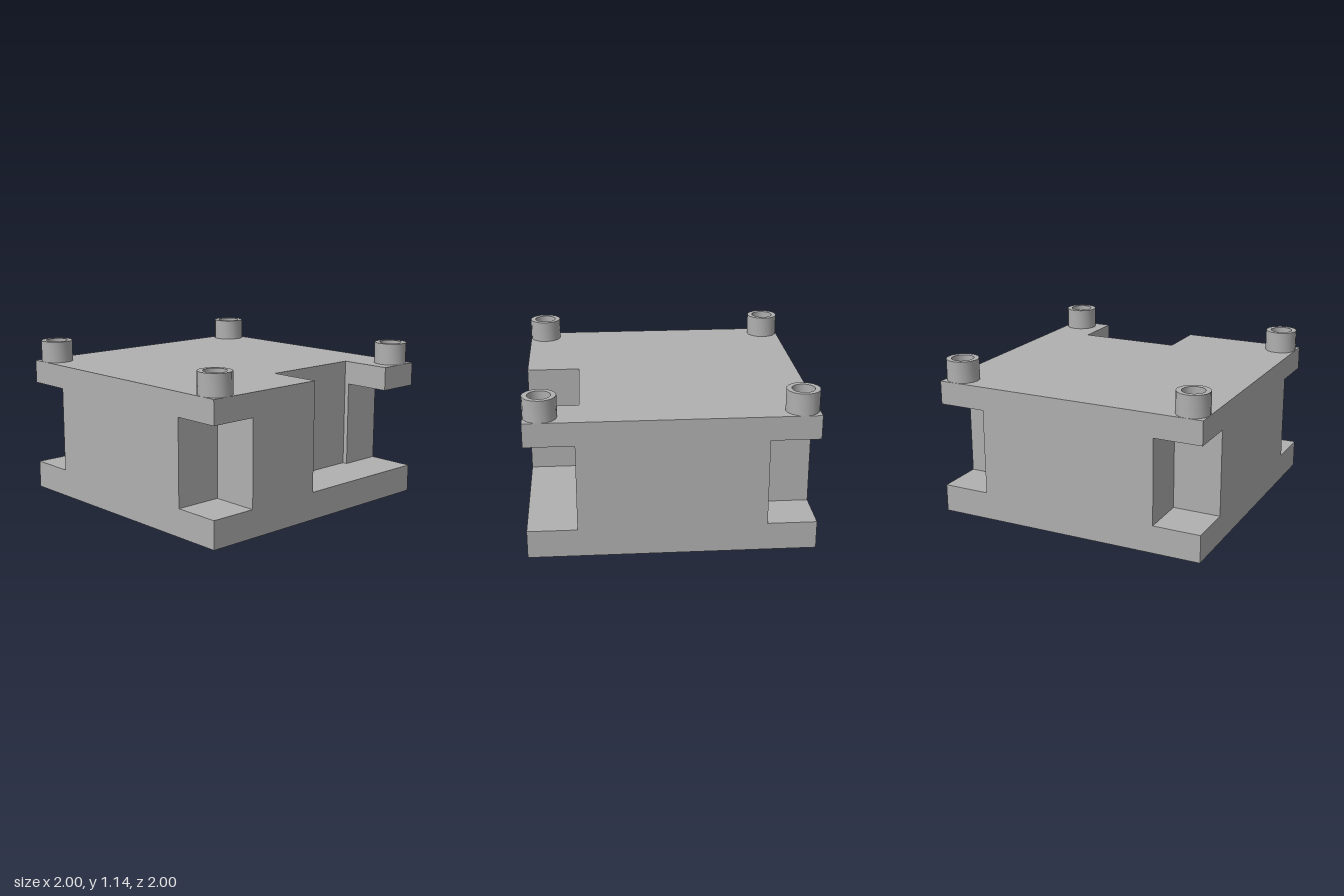
import * as THREE from 'three';
import { toCreasedNormals } from 'three/addons/utils/BufferGeometryUtils.js';

const POST = 0.883, BORE = 0.08;   // corner post position and bore radius
const RIM = 0.92, CAVITY = 0.13;   // underside recess
const NOTCH = 0.655;               // inner edge of the corner notches
const P0 = -0.07, P1 = 0.685, PZ = 0.62; // front pocket

const polygon = (pts) => new THREE.Shape(pts.map(([x, z]) => new THREE.Vector2(x, z)));
const square = (r) => [[-r, -r], [r, -r], [r, r], [-r, r]];
const circle = (r, x = 0, z = 0) => new THREE.Shape().absarc(x, z, r, 0, Math.PI * 2, false);

// Plan outline (x, z) raised from y0 to y1
function slab(name, shape, y0, y1, material, segments = 8) {
  const geo = new THREE.ExtrudeGeometry(shape, {
    depth: y1 - y0, bevelEnabled: false, curveSegments: segments,
  });
  geo.rotateX(Math.PI / 2).translate(0, y1, 0);
  const mesh = new THREE.Mesh(toCreasedNormals(geo, 0.7), material);
  mesh.name = name;
  return mesh;
}

function ring(name, x, z, outer, inner, y0, y1, material, segments) {
  const shape = circle(outer);
  shape.holes.push(circle(inner));
  const mesh = slab(name, shape, y0, y1, material, segments);
  mesh.position.set(x, 0, z);
  return mesh;
}

export function createModel() {
  const group = new THREE.Group();
  group.name = 'connectorBlock';
  const grey = new THREE.MeshStandardMaterial({ color: 0xb0b0b0 });
  grey.name = 'grey';

  // Base: hollow rim with a floor above it
  const rim = polygon(square(1));
  rim.holes.push(polygon(square(RIM)));
  group.add(slab('baseRim', rim, 0, CAVITY, grey));
  group.add(slab('baseFloor', polygon(square(1)), CAVITY, 0.2, grey));

  // Middle: notched corners and front pocket
  const n = NOTCH;
  group.add(slab('core', polygon([
    [-n, -1], [n, -1], [n, -n], [1, -n], [1, n], [P1, n], [P1, PZ], [P0, PZ],
    [P0, 1], [-n, 1], [-n, n], [-1, n], [-1, -n], [-n, -n],
  ]), 0.2, 0.82, grey));

  // Top plate with pocket cut-out and bored corners
  const top = polygon([[-1, -1], [1, -1], [1, 1], [P1, 1], [P1, PZ], [P0, PZ], [P0, 1], [-1, 1]]);
  for (const sx of [-1, 1]) for (const sz of [-1, 1]) {
    top.holes.push(circle(BORE, sx * POST, sz * POST));
    group.add(ring('cornerPost', sx * POST, sz * POST, 0.117, BORE, 0.99, 1.145, grey, 8));
  }
  group.add(slab('topPlate', top, 0.82, 0.99, grey));

  // Underside tubes
  for (const x of [-0.5, 0, 0.5]) for (const z of [-0.5, 0, 0.5]) {
    group.add(ring('undersideTube', x, z, 0.2, 0.145, 0, CAVITY, grey, 10));
  }
  return group;
}
